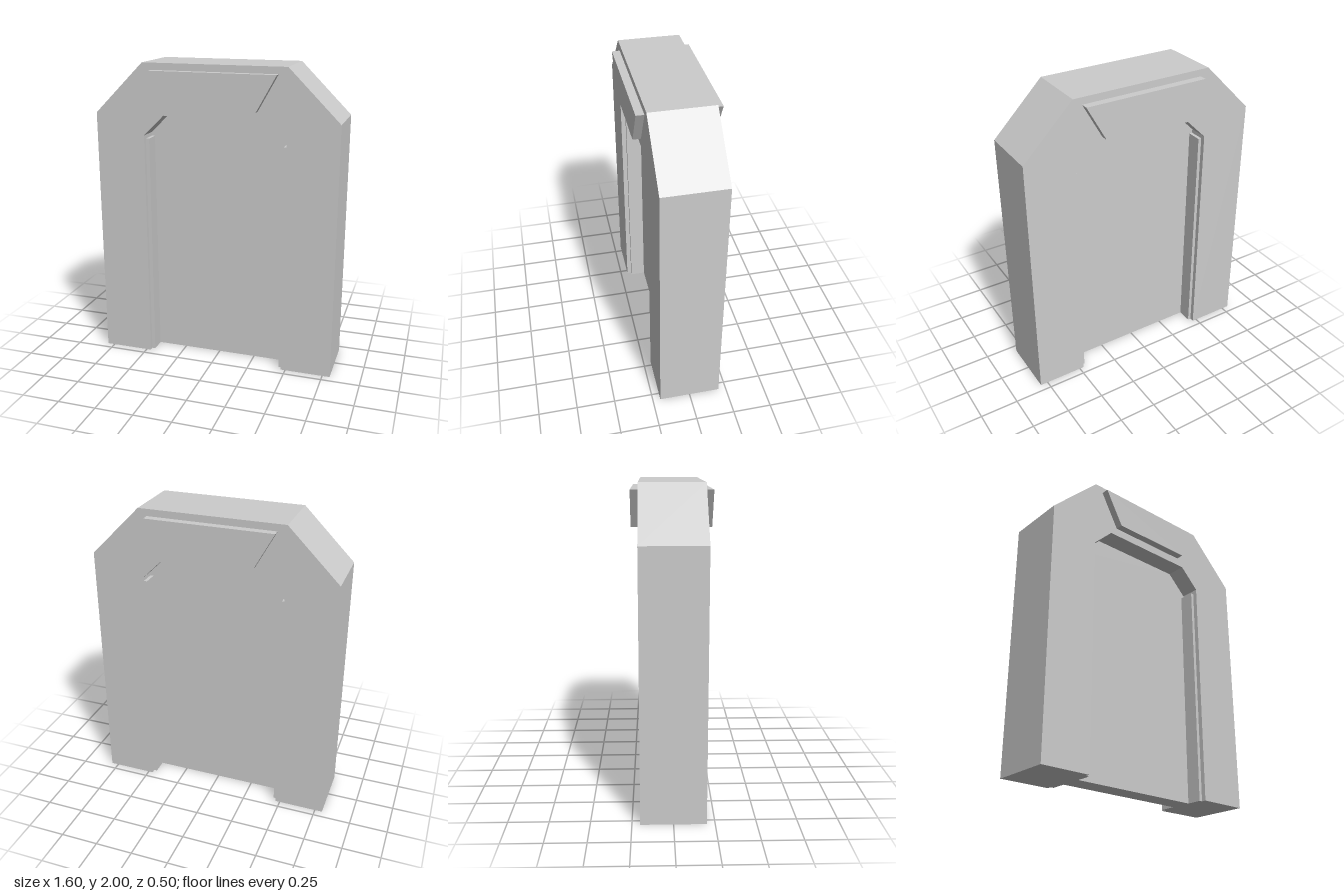
import * as THREE from 'three';

const material = new THREE.MeshStandardMaterial({ color: 0xcccccc, flatShading: true });

// Mirror a right-hand outline (bottom to top) into a closed symmetric one
function symmetric(half) {
  const left = half.map(([x, y]) => [-x, y]).reverse();
  return [...half, ...left].map(([x, y]) => new THREE.Vector2(x, y));
}

// Extrude an outline between two z planes
function slab(name, points, z0, z1) {
  const geometry = new THREE.ExtrudeGeometry(new THREE.Shape(points), {
    depth: z1 - z0, bevelEnabled: false,
  });
  geometry.translate(0, 0, z0);
  const mesh = new THREE.Mesh(geometry, material);
  mesh.name = name;
  return mesh;
}

export function createModel() {
  const model = new THREE.Group();
  model.name = 'doorway';

  const outer = [[0.8, 0], [0.8, 1.67], [0.47, 2]];
  const opening = [[0.47, 0], [0.47, 1.535], [0.333, 1.67]];

  // Chamfered arch, open at the bottom
  const arch = [...symmetric(outer), ...symmetric(opening).reverse()];
  model.add(slab('frame', arch, -0.2, 0.2));

  // Recessed door filling the opening
  model.add(slab('doorPanel', symmetric(opening), -0.07, 0.07));

  // Tapered plates above the door, front and back
  const plate = symmetric([[0.286, 1.725], [0.413, 1.955]]);
  model.add(slab('frontHeaderPlate', plate, 0.2, 0.25));
  model.add(slab('backHeaderPlate', plate, -0.25, -0.2));

  // Thin guide strips on the jambs, on both faces of the door
  for (const sx of [-1, 1]) {
    for (const sz of [-1, 1]) {
      const strip = new THREE.Mesh(new THREE.BoxGeometry(0.022, 1.51, 0.1), material);
      strip.position.set(sx * 0.459, 0.755, sz * 0.12);
      strip.name = (sz > 0 ? 'front' : 'back') + (sx > 0 ? 'Left' : 'Right') + 'JambStrip';
      model.add(strip);
    }
  }
  return model;
}
